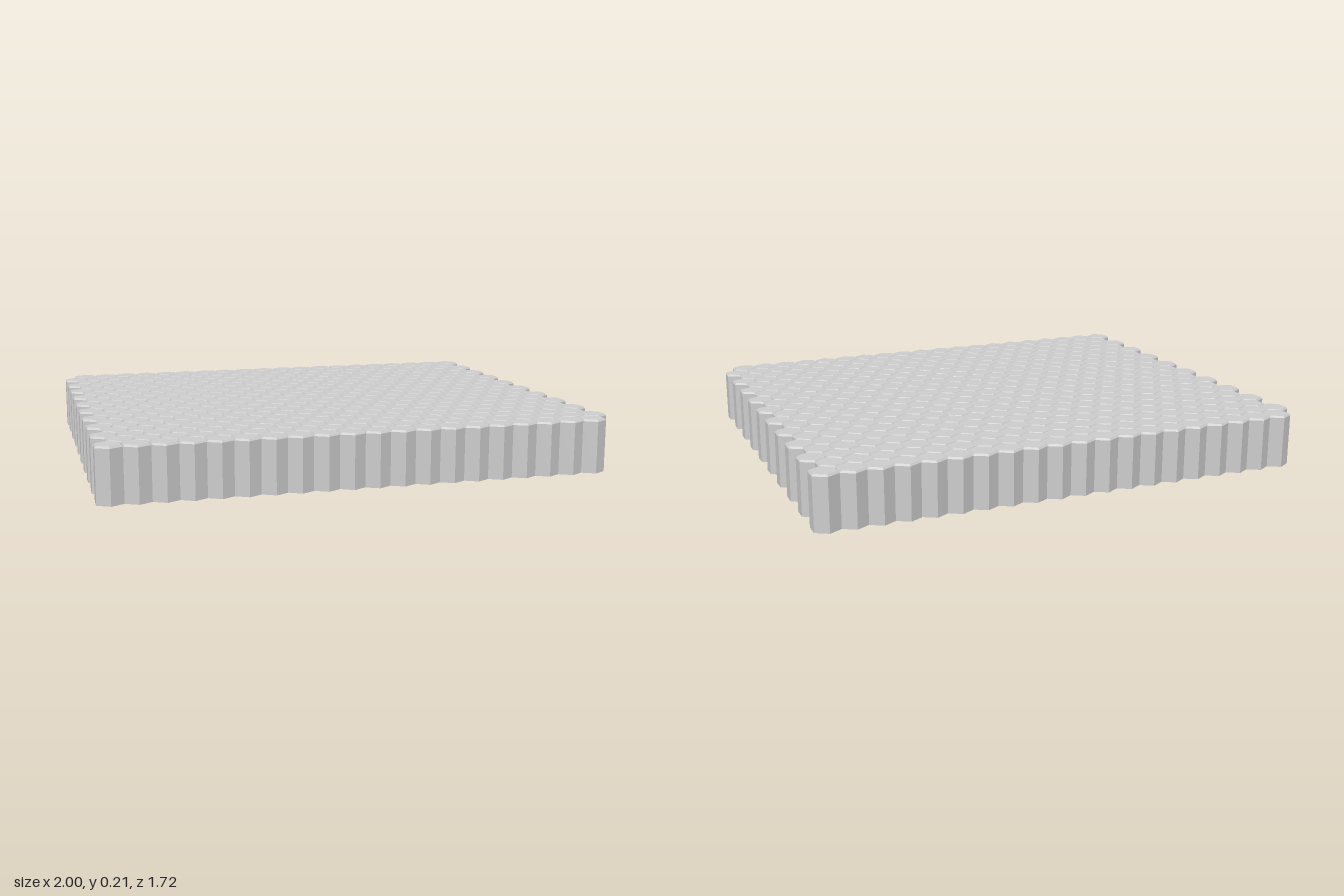
import * as THREE from 'three';

const COLUMNS = 20, ROWS = 20;
const PITCH = 2 / (COLUMNS + 0.5);      // flat-to-flat width of a cell
const RADIUS = PITCH / Math.sqrt(3);    // centre to corner
const HEIGHT = 0.21, BEVEL = 0.007;

export function createModel() {
  const model = new THREE.Group();
  model.name = 'hexagonTileField';
  const material = new THREE.MeshStandardMaterial({ color: 0xcccccc, flatShading: true });

  // One hexagonal column with a small chamfer round its top, corners along z
  const profile = [
    [0, 0], [RADIUS, 0], [RADIUS, HEIGHT - BEVEL], [RADIUS - BEVEL, HEIGHT], [0, HEIGHT],
  ].map(([x, y]) => new THREE.Vector2(x, y));
  const cell = new THREE.LatheGeometry(profile, 6);

  // Staggered rows from back to front, alternately shifted a quarter pitch right and left
  for (let r = 0; r < ROWS; r++) {
    const row = new THREE.Group();
    row.name = `tileRow${r + 1}`;
    const shift = (r % 2 === 0 ? 0.25 : -0.25) * PITCH;
    row.position.set(shift, 0, (r - (ROWS - 1) / 2) * RADIUS * 1.5);
    for (let c = 0; c < COLUMNS; c++) {
      const tile = new THREE.Mesh(cell, material);
      tile.name = 'hexagonTile';
      tile.position.x = (c - (COLUMNS - 1) / 2) * PITCH;
      row.add(tile);
    }
    model.add(row);
  }
  return model;
}
